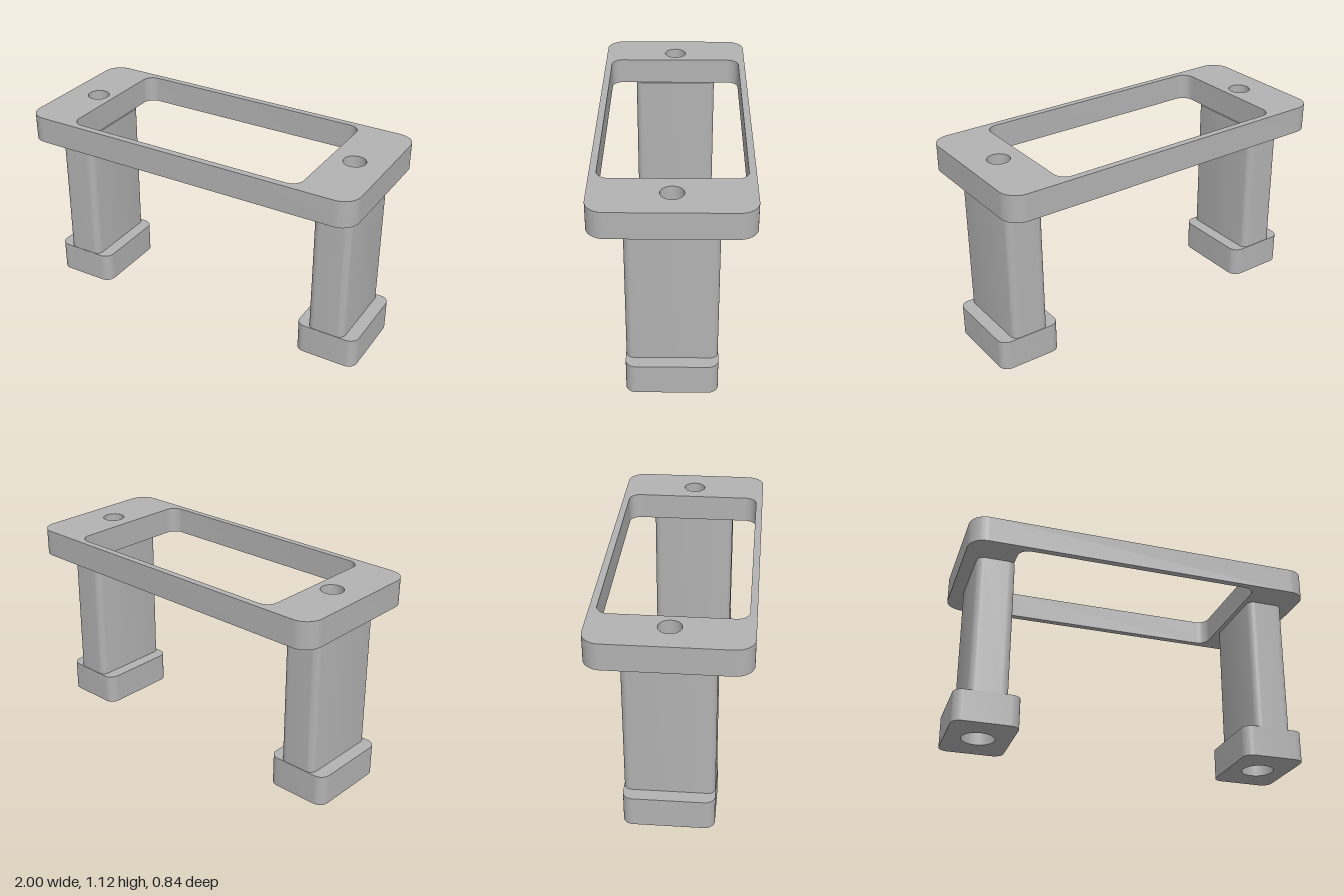
import * as THREE from 'three';
import { toCreasedNormals } from 'three/addons/utils/BufferGeometryUtils.js';

// Trace a rounded rectangle centred on (cx, cy) into a Shape or Path
function roundedRect(path, cx, cy, w, h, r) {
  const x = w / 2 - r, y = h / 2 - r;
  path.moveTo(cx + x + r, cy - y);
  path.absarc(cx + x, cy + y, r, 0, Math.PI / 2, false);
  path.absarc(cx - x, cy + y, r, Math.PI / 2, Math.PI, false);
  path.absarc(cx - x, cy - y, r, Math.PI, Math.PI * 1.5, false);
  path.absarc(cx + x, cy - y, r, Math.PI * 1.5, Math.PI * 2, false);
  path.closePath();
  return path;
}

function circle(x, r) {
  return new THREE.Path().absarc(x, 0, r, 0, Math.PI * 2, false);
}

// Extrude a plan outline upwards from y0 to y1
function slab(name, shape, y0, y1, material) {
  let geo = new THREE.ExtrudeGeometry(shape, { depth: y1 - y0, bevelEnabled: false, curveSegments: 10 });
  geo.rotateX(-Math.PI / 2);
  geo.translate(0, y0, 0);
  geo = toCreasedNormals(geo, 0.7);
  const mesh = new THREE.Mesh(geo, material);
  mesh.name = name;
  return mesh;
}

export function createModel() {
  const group = new THREE.Group();
  group.name = 'frameStand';
  const grey = new THREE.MeshStandardMaterial({ color: 0xb2b2b2 });
  grey.name = 'plain grey';

  // Top frame with a large window and a screw hole above each leg
  const frame = roundedRect(new THREE.Shape(), 0, 0, 2, 0.84, 0.1);
  frame.holes.push(roundedRect(new THREE.Path(), -0.0175, 0, 1.405, 0.765, 0.065));
  frame.holes.push(circle(-0.82, 0.062), circle(0.82, 0.062));
  group.add(slab('topFrame', frame, 0.975, 1.125, grey));

  // Legs close the screw holes; each stands on a wider drilled foot
  for (const [side, s] of [['left', 1], ['right', -1]]) {
    const leg = roundedRect(new THREE.Shape(), s * 0.818, 0, 0.215, 0.48, 0.04);
    group.add(slab(side + 'Leg', leg, 0.175, 0.975, grey));

    const foot = roundedRect(new THREE.Shape(), s * 0.82, 0, 0.36, 0.485, 0.055);
    foot.holes.push(circle(s * 0.82, 0.092));
    group.add(slab(side + 'Foot', foot, 0, 0.175, grey));
  }
  return group;
}
